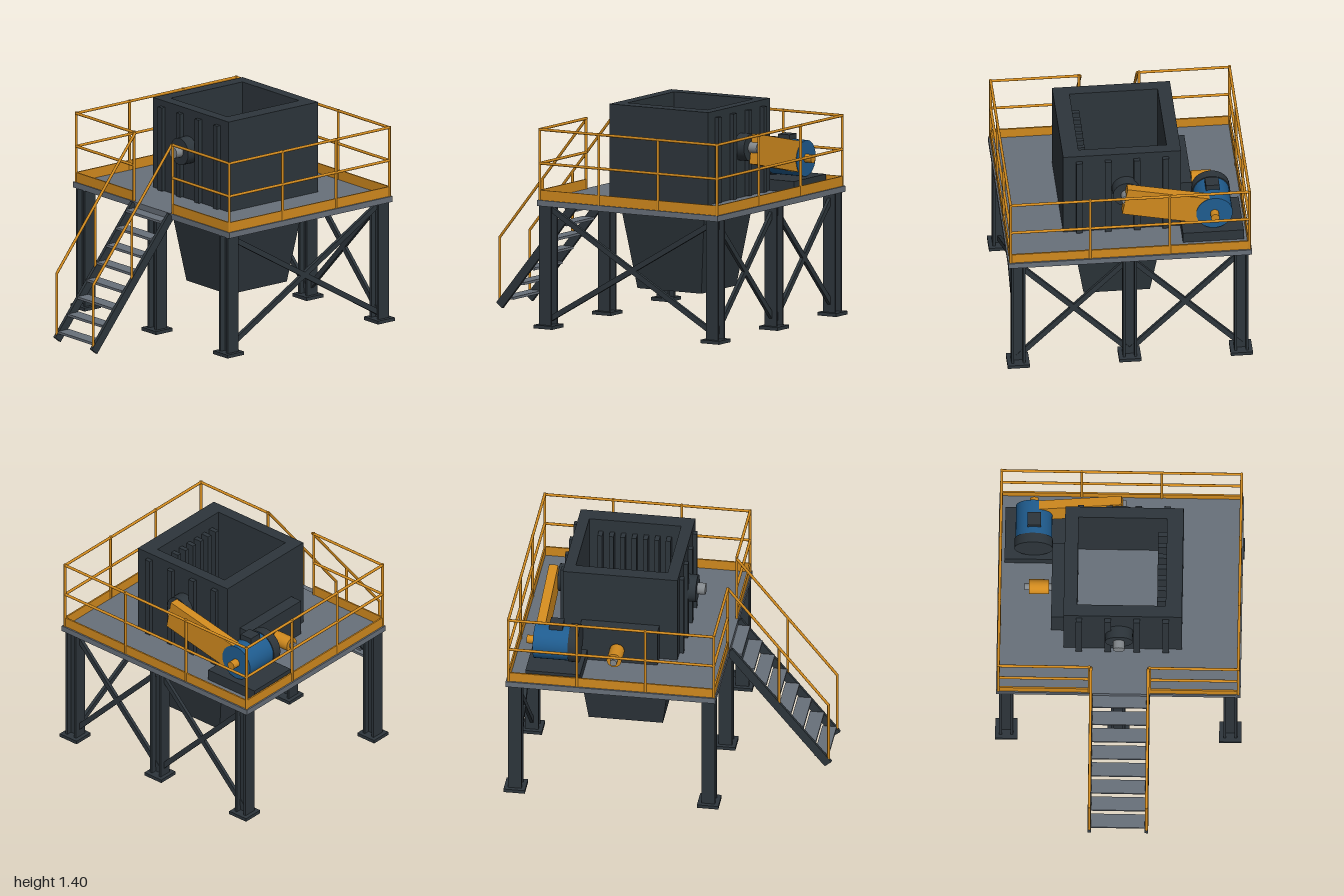
import * as THREE from 'three';

const paint = (name, color) => {
  const m = new THREE.MeshStandardMaterial({ color });
  m.name = name;
  return m;
};

export function createModel() {
  const steel = paint('dark steel', 0x2d353b);
  const grating = paint('deck grey', 0x68707a);
  const safety = paint('safety orange', 0xd18a1e);
  const blue = paint('motor blue', 0x1f5c8f);
  const shaftGrey = paint('shaft grey', 0x83888c);

  const root = new THREE.Group();
  root.name = 'hopperPlatform';
  const group = (name) => {
    const g = new THREE.Group();
    g.name = name;
    root.add(g);
    return g;
  };
  const add = (parent, name, geo, mat) => {
    const m = new THREE.Mesh(geo, mat);
    m.name = name;
    parent.add(m);
    return m;
  };
  // box given by its limits on each axis
  const box = (parent, name, mat, [x0, x1], [y0, y1], [z0, z1]) => {
    const m = add(parent, name, new THREE.BoxGeometry(x1 - x0, y1 - y0, z1 - z0), mat);
    m.position.set((x0 + x1) / 2, (y0 + y1) / 2, (z0 + z1) / 2);
    return m;
  };
  const v = (p) => new THREE.Vector3(...p);
  const up = new THREE.Vector3(0, 1, 0);
  // round bar between two points
  const rod = (parent, name, mat, a, b, r, sides = 10) => {
    const d = v(b).sub(v(a));
    const m = add(parent, name, new THREE.CylinderGeometry(r, r, d.length(), sides), mat);
    m.position.copy(v(a).add(v(b)).multiplyScalar(0.5));
    m.quaternion.setFromUnitVectors(up, d.normalize());
    return m;
  };
  // flat bar between two points in the plane x = const or z = const
  const bar = (parent, name, mat, a, b, w, t) => {
    const d = v(b).sub(v(a));
    const alongX = Math.abs(d.x) > Math.abs(d.z);
    const m = add(parent, name,
      new THREE.BoxGeometry(alongX ? w : t, d.length(), alongX ? t : w), mat);
    m.position.copy(v(a).add(v(b)).multiplyScalar(0.5));
    if (alongX) m.rotation.z = Math.atan2(-d.x, d.y);
    else m.rotation.x = Math.atan2(d.z, d.y);
    return m;
  };

  // Deck
  box(root, 'deck', grating, [-0.77, 0.77], [0.78, 0.817], [-0.985, 0.35]);

  // Six H-section columns with base plates
  const frame = group('supportFrame');
  const zF = 0.302, zB = -0.93;
  for (const x of [-0.705, 0, 0.705]) {
    for (const z of [zF, zB]) {
      box(frame, 'basePlate', steel, [x - 0.07, x + 0.07], [0, 0.022], [z - 0.068, z + 0.068]);
      for (const s of [-1, 1]) {
        const c = x + s * 0.036;
        box(frame, 'columnFlange', steel, [c - 0.008, c + 0.008], [0.02, 0.782], [z - 0.043, z + 0.043]);
      }
      box(frame, 'columnWeb', steel, [x - 0.03, x + 0.03], [0.02, 0.782], [z - 0.008, z + 0.008]);
    }
  }
  // Cross braces: both back bays and one side
  const cross = (a, b) => {
    for (const [ya, yb] of [[0.77, 0.05], [0.05, 0.77]])
      bar(frame, 'crossBrace', steel, [a[0], ya, a[1]], [b[0], yb, b[1]], 0.034, 0.022);
  };
  cross([-0.705, zB], [0, zB]);
  cross([0, zB], [0.705, zB]);
  cross([0.705, zF], [0.705, zB]);

  // Tapered hopper under the deck
  const hopperGeo = new THREE.BoxGeometry(0.6, 0.565, 0.625);
  const hp = hopperGeo.attributes.position;
  for (let i = 0; i < hp.count; i++) {
    if (hp.getY(i) < 0) hp.setXYZ(i, hp.getX(i) * 0.7, hp.getY(i), hp.getZ(i) * 0.755);
  }
  hopperGeo.computeVertexNormals();
  add(root, 'hopper', hopperGeo, steel).position.set(0.043, 0.5075, -0.312);

  // Open-topped crusher housing
  const housing = group('housing');
  const rect = (Cls, x0, x1, y0, y1) => {
    const s = new Cls();
    s.moveTo(x0, y0).lineTo(x1, y0).lineTo(x1, y1).lineTo(x0, y1).closePath();
    return s;
  };
  const plan = rect(THREE.Shape, -0.35, 0.395, -0.045, 0.685);
  plan.holes.push(rect(THREE.Path, -0.265, 0.292, 0.03, 0.615));
  const walls = new THREE.ExtrudeGeometry(plan, { depth: 0.588, bevelEnabled: false });
  walls.rotateX(-Math.PI / 2);
  add(housing, 'housingWalls', walls, steel).position.y = 0.817;
  for (let i = 0; i < 4; i++) {
    const x = -0.252 + i * 0.182;
    box(housing, 'frontRib', steel, [x - 0.02, x + 0.02], [0.82, 1.365], [0.04, 0.072]);
    box(housing, 'backRib', steel, [x - 0.02, x + 0.02], [0.82, 1.365], [-0.712, -0.68]);
  }
  for (let i = 0; i < 7; i++) {
    const z = -0.54 + i * 0.0725;
    box(housing, 'innerTooth', steel, [0.237, 0.295], [0.82, 1.32], [z - 0.015, z + 0.015]);
  }
  box(housing, 'sideCasing', steel, [-0.43, -0.345], [0.817, 1.06], [-0.565, -0.07]);

  // Main shaft and bearings
  const axisY = 1.14;
  rod(housing, 'frontBearing', steel, [0, axisY, 0.04], [0, axisY, 0.12], 0.087, 32);
  rod(housing, 'backBearing', steel, [0, axisY, -0.68], [0, axisY, -0.76], 0.087, 32);
  rod(housing, 'frontShaft', shaftGrey, [0, axisY, 0.11], [0, axisY, 0.172], 0.037, 24);
  rod(housing, 'backShaft', shaftGrey, [0, axisY, -0.75], [0, axisY, -0.82], 0.037, 24);

  // Drive motor on its base
  const drive = group('drive');
  const mx = -0.548, my = 1.008;
  box(drive, 'motorBase', steel, [-0.73, -0.345], [0.817, 0.888], [-0.865, -0.517]);
  rod(drive, 'motorBody', blue, [mx, my, -0.83], [mx, my, -0.6], 0.115, 32);
  rod(drive, 'motorCap', steel, [mx, my, -0.607], [mx, my, -0.545], 0.121, 32);
  box(drive, 'terminalBox', steel, [-0.588, -0.503], [1.09, 1.155], [-0.735, -0.65]);
  rod(drive, 'motorHub', safety, [mx, my, -0.82], [mx, my, -0.882], 0.027, 20);

  // Sloping belt guard
  const guard = new THREE.Shape();
  guard.moveTo(-0.573, 0.907).lineTo(0.035, 1.04).lineTo(0.0, 1.228).lineTo(-0.605, 1.1).closePath();
  add(drive, 'beltGuard',
    new THREE.ExtrudeGeometry(guard, { depth: 0.058, bevelEnabled: false }), safety)
    .position.z = -0.826;

  // Adjusting ram beside the housing
  rod(drive, 'ramRod', shaftGrey, [-0.6, 0.913, -0.325], [-0.42, 0.913, -0.325], 0.022, 16);
  rod(drive, 'ramBody', safety, [-0.572, 0.913, -0.325], [-0.447, 0.913, -0.325], 0.047, 24);

  // Guard rails: each run has two rails, posts and a kick plate
  const rails = group('guardRails');
  const R = 0.009, top = 1.265, mid = 1.05;
  const run = (a, b, bays) => {
    for (const y of [top, mid])
      rod(rails, 'rail', safety, [a[0], y, a[1]], [b[0], y, b[1]], R);
    for (let i = 0; i <= bays; i++) {
      const x = a[0] + (b[0] - a[0]) * i / bays, z = a[1] + (b[1] - a[1]) * i / bays;
      rod(rails, 'railPost', safety, [x, 0.815, z], [x, top + R, z], R);
    }
    const t = 0.005;
    box(rails, 'kickPlate', safety,
      [Math.min(a[0], b[0]) - t, Math.max(a[0], b[0]) + t], [0.815, 0.88],
      [Math.min(a[1], b[1]) - t, Math.max(a[1], b[1]) + t]);
  };
  const X = 0.755, Z0 = -0.97, Z1 = 0.338;
  run([-X, Z0], [X, Z0], 3);
  run([-X, Z0], [-X, Z1], 3);
  run([X, Z0], [X, Z1], 3);
  run([-X, Z1], [-0.183, Z1], 1);
  run([X, Z1], [0.197, Z1], 1);

  // Stairs with handrails
  const stairs = group('stairs');
  const cx = 0.008;
  for (const s of [-1, 1]) {
    const x = cx + s * 0.18;
    bar(stairs, 'stringer', steel, [x, 0.805, 0.348], [x, 0.028, 0.978], 0.055, 0.022);
    rod(stairs, 'handrail', safety, [x, top, 0.338], [x, 0.46, 0.98], R);
    rod(stairs, 'handrailPost', safety, [x, 0.85, 0.665], [x, 0.42, 0.665], R);
    rod(stairs, 'handrailPost', safety, [x, 0.465, 0.98], [x, 0.04, 0.98], R);
  }
  for (let i = 0; i < 8; i++) {
    const y = 0.075 + i * 0.0995, z = 0.932 - i * 0.0785;
    box(stairs, 'tread', grating, [cx - 0.17, cx + 0.17], [y - 0.008, y + 0.008], [z - 0.045, z + 0.045]);
  }

  return root;
}
